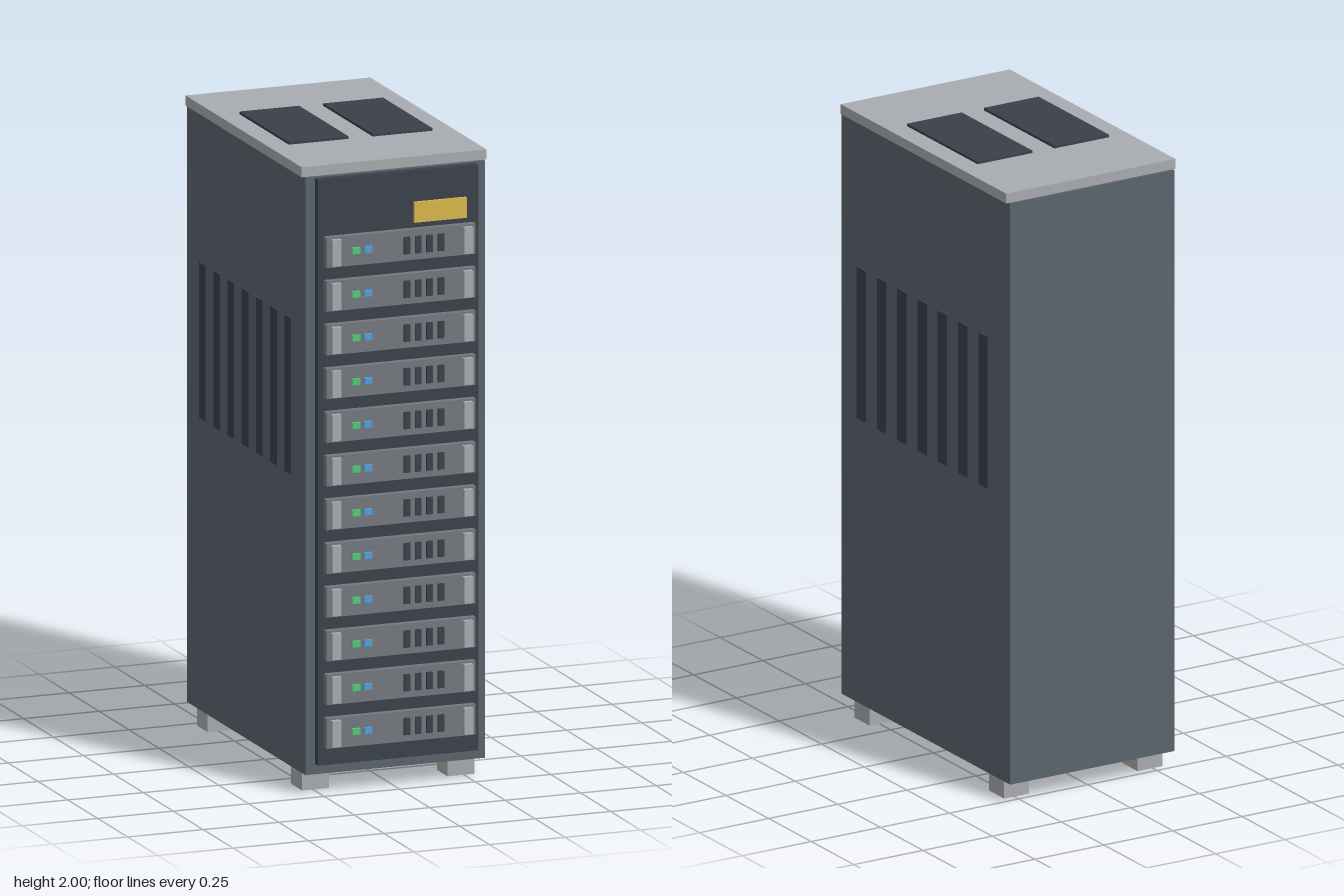
import * as THREE from 'three';

const paint = (color) => new THREE.MeshStandardMaterial({ color });

export function createModel() {
  const model = new THREE.Group();
  model.name = 'serverRack';

  const steel = paint(0x5a646d);
  const dark = paint(0x3a3f4a);
  const light = paint(0xa8abaf);
  const unitGrey = paint(0x74777d);
  const yellow = paint(0xd9b84a);
  const green = paint(0x55c878);
  const blue = paint(0x55a0d8);

  // Box given by its min/max extents on each axis
  function box(parent, name, material, [x0, x1], [y0, y1], [z0, z1]) {
    const mesh = new THREE.Mesh(new THREE.BoxGeometry(x1 - x0, y1 - y0, z1 - z0), material);
    mesh.position.set((x0 + x1) / 2, (y0 + y1) / 2, (z0 + z1) / 2);
    mesh.name = name;
    parent.add(mesh);
    return mesh;
  }

  // Cabinet shell, lid and front panel
  box(model, 'cabinet', steel, [-0.297, 0.297], [0.063, 1.96], [-0.527, 0.462]);
  box(model, 'lid', light, [-0.306, 0.306], [1.96, 1.992], [-0.518, 0.453]);
  box(model, 'frontPanel', dark, [-0.266, 0.266], [0.096, 1.956], [0.45, 0.488]);
  box(model, 'labelPlate', yellow, [0.05, 0.223], [1.793, 1.858], [0.48, 0.498]);

  for (const s of [-1, 1]) {
    // Roof vent panels
    box(model, 'roofVent', dark, s < 0 ? [-0.238, -0.04] : [0.04, 0.238], [1.985, 2], [-0.24, 0.174]);

    // Feet
    for (const z of [0.36, -0.429]) {
      box(model, 'foot', light, [s * 0.241 - 0.045, s * 0.241 + 0.045], [0, 0.066], [z - 0.045, z + 0.045]);
    }

    // Side vent slats
    for (let i = 0; i < 7; i++) {
      const z = 0.334 - i * 0.119;
      box(model, 'sideVent', dark, [s * 0.298 - 0.007, s * 0.298 + 0.007], [0.995, 1.49], [z - 0.0275, z + 0.0275]);
    }
  }

  // Stack of server units
  for (let i = 0; i < 12; i++) {
    const unit = new THREE.Group();
    unit.name = 'serverUnit';
    unit.position.y = 0.201 + i * 0.1388;
    model.add(unit);

    box(unit, 'unitBody', unitGrey, [-0.247, 0.247], [-0.048, 0.048], [0.47, 0.511]);
    for (const s of [-1, 1]) {
      box(unit, 'handle', light, [s * 0.218 - 0.015, s * 0.218 + 0.015], [-0.042, 0.042], [0.5, 0.527]);
    }
    box(unit, 'statusLight', green, [-0.164, -0.138], [-0.01, 0.01], [0.505, 0.52]);
    box(unit, 'activityLight', blue, [-0.124, -0.098], [-0.01, 0.01], [0.505, 0.52]);
    for (let j = 0; j < 4; j++) {
      const x = 0.018 + j * 0.0375;
      box(unit, 'ventSlot', dark, [x - 0.01, x + 0.01], [-0.027, 0.027], [0.505, 0.518]);
    }
  }

  return model;
}
